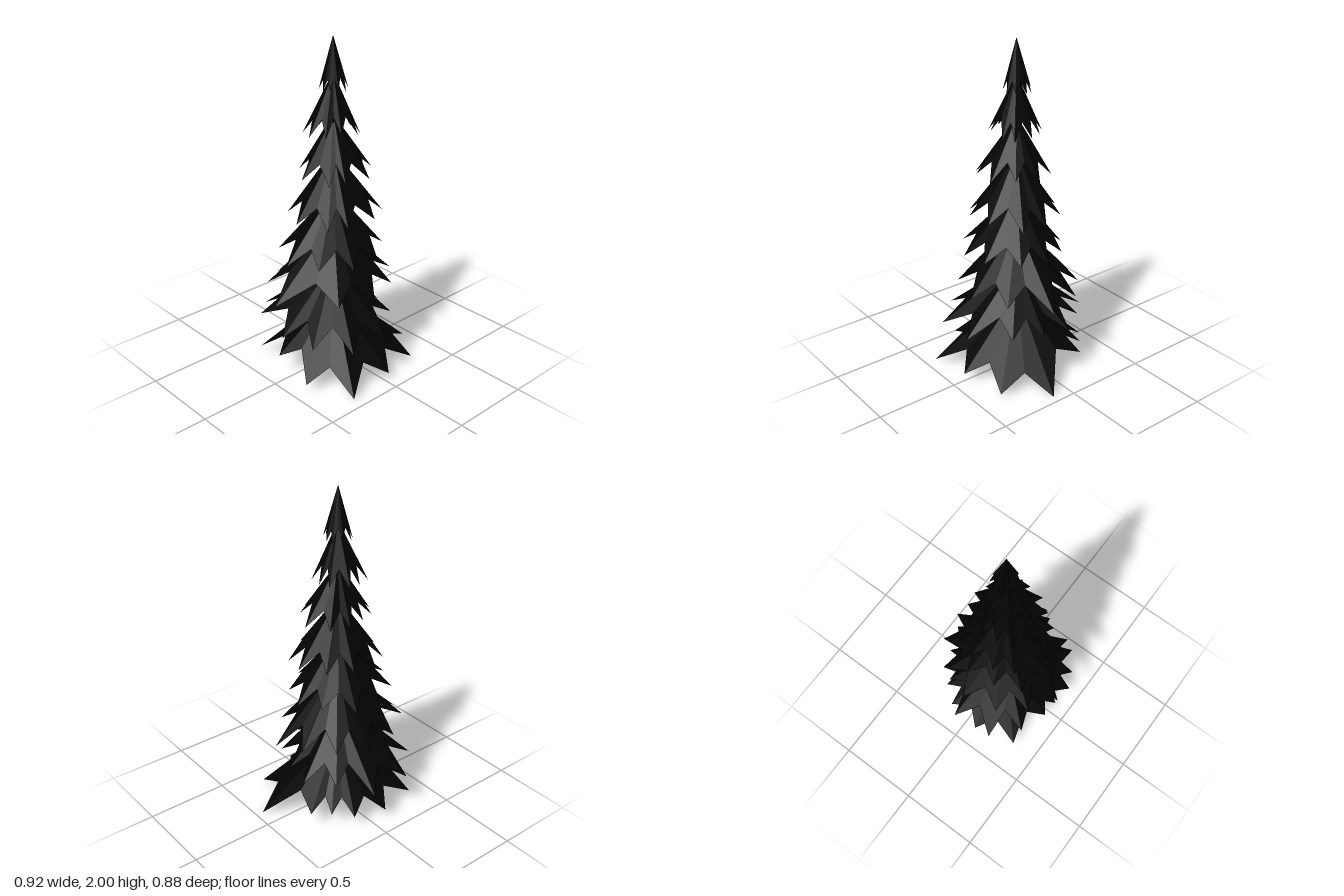
import * as THREE from 'three';

const AXIS_X = -0.035;

// small seeded generator for the irregular boughs
function seeded(seed) {
  let s = seed;
  return () => {
    s = (s * 16807) % 2147483647;
    return s / 2147483647;
  };
}

// Star-shaped skirt: ridges run from the apex to each tip, shallow valleys to the notches between
function skirtGeometry(apexY, tips, notchRatio) {
  const apex = new THREE.Vector3(0, apexY, 0);
  const rim = [];
  let hubY = 0;
  tips.forEach((tip, i) => {
    const next = tips[(i + 1) % tips.length];
    const a = Math.atan2(tip.z, tip.x);
    let b = Math.atan2(next.z, next.x);
    if (b < a) b += Math.PI * 2;
    const mid = (a + b) / 2;
    const r = notchRatio * Math.min(Math.hypot(tip.x, tip.z), Math.hypot(next.x, next.z));
    const y = apexY + (Math.max(tip.y, next.y) - apexY) * (notchRatio + 0.03);
    hubY += y / tips.length;
    rim.push(tip, new THREE.Vector3(r * Math.cos(mid), y, r * Math.sin(mid)));
  });
  const hub = new THREE.Vector3(0, hubY + 0.45 * (apexY - hubY), 0);
  const points = [];
  rim.forEach((p, i) => {
    const q = rim[(i + 1) % rim.length];
    points.push(apex, q, p, hub, p, q); // upper face, hollow underside
  });
  const geometry = new THREE.BufferGeometry().setFromPoints(points);
  geometry.computeVertexNormals();
  return geometry;
}

// Uneven tips around the trunk, blending the extents along the four axes [+x, +z, -x, -z]
function ringOfTips(apexY, tipY, [px, pz, nx, nz], random) {
  const count = 10;
  return Array.from({ length: count }, (_, i) => {
    const sideways = i % 5 === 0;
    const a = ((i + (random() - 0.5) * (sideways ? 0.2 : 0.45)) / count) * Math.PI * 2;
    const c = Math.cos(a), s = Math.sin(a);
    const reach = sideways ? 1 : 0.92 + 0.12 * random();
    const r = reach * (c * c * (c > 0 ? px : nx) + s * s * (s > 0 ? pz : nz));
    return new THREE.Vector3(r * c, apexY + (tipY - apexY) * reach, r * s);
  });
}

export function createModel() {
  const tree = new THREE.Group();
  tree.name = 'conifer';
  const random = seeded(4127);
  const needles = new THREE.MeshStandardMaterial({ color: 0x030303, flatShading: true, side: THREE.DoubleSide });
  const bark = new THREE.MeshStandardMaterial({ color: 0x030303, flatShading: true });

  const add = (name, geometry, material) => {
    const mesh = new THREE.Mesh(geometry, material);
    mesh.name = name;
    mesh.position.x = AXIS_X;
    tree.add(mesh);
    return mesh;
  };

  // tapering trunk inside the boughs
  const trunk = add('trunk', new THREE.CylinderGeometry(0.015, 0.1, 1.69, 8), bark);
  trunk.position.y = 0.11 + 1.69 / 2;

  // upper tiers: apex height, tip height, notch depth, extents
  const upper = [
    [2.0, 1.7, 0.77, [0.085, 0.085, 0.075, 0.088]],
    [1.8, 1.46, 0.7, [0.135, 0.155, 0.175, 0.155]],
    [1.56, 1.22, 0.7, [0.225, 0.245, 0.225, 0.175]],
    [1.35, 0.97, 0.72, [0.28, 0.285, 0.275, 0.25]],
    [1.11, 0.74, 0.74, [0.3, 0.31, 0.365, 0.28]],
  ];
  upper.forEach(([apexY, tipY, notch, extents], i) => {
    const tips = ringOfTips(apexY, tipY, extents, random);
    add(`boughTier${i + 1}`, skirtGeometry(apexY, tips, notch), needles);
  });

  // wide lower tiers: apex height, notch depth, tips in order around the trunk
  const lower = [
    [0.91, 0.72, [
      [-0.365, 0.55, -0.21], [-0.2, 0.52, -0.32], [0.02, 0.5, -0.36], [0.2, 0.53, -0.28], [0.34, 0.53, -0.14],
      [0.385, 0.49, 0.055], [0.2, 0.52, 0.25], [-0.03, 0.51, 0.345], [-0.25, 0.53, 0.28], [-0.46, 0.49, -0.03],
    ]],
    [0.65, 0.72, [
      [-0.37, 0.31, -0.28], [-0.22, 0.27, -0.425], [0.04, 0.25, -0.44], [0.2, 0.3, -0.28], [0.32, 0.29, -0.12],
      [0.29, 0.3, 0.05], [0.22, 0.31, 0.23], [0.01, 0.28, 0.41], [-0.25, 0.28, 0.4], [-0.405, 0.3, 0.23],
      [-0.435, 0.29, 0],
    ]],
    [0.45, 0.78, [
      [-0.345, 0.05, -0.325], [-0.085, 0.07, -0.395], [0.13, 0.1, -0.365],
      [0.235, 0.12, -0.28], [0.325, 0.12, -0.2], [0.455, 0.005, 0.115], [0.275, 0.03, 0.36],
      [0.01, 0.06, 0.43], [-0.28, 0.02, 0.44], [-0.425, 0.06, 0.195], [-0.41, 0.13, -0.065],
    ]],
  ];
  lower.forEach(([apexY, notch, points], i) => {
    const tips = points.map(([x, y, z]) => new THREE.Vector3(x - AXIS_X, y, z));
    add(`boughTier${i + 6}`, skirtGeometry(apexY, tips, notch), needles);
  });

  return tree;
}
